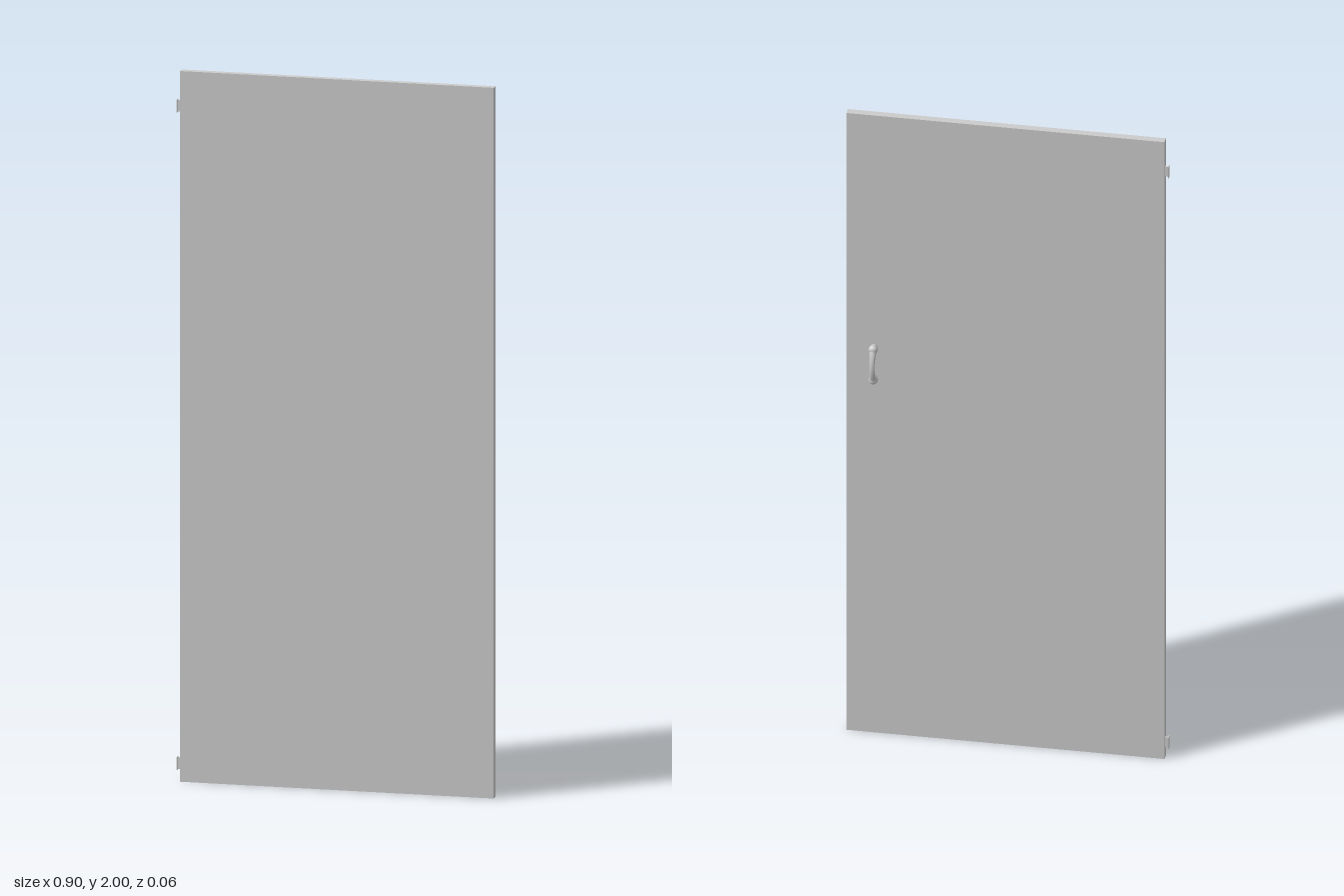
import * as THREE from 'three';

const material = new THREE.MeshStandardMaterial({ color: 0xcccccc });

function add(parent, name, geometry, x, y, z) {
  const mesh = new THREE.Mesh(geometry, material);
  mesh.name = name;
  mesh.position.set(x, y, z);
  parent.add(mesh);
  return mesh;
}

// Bowed grip: oval rings around an arc, thinnest in the middle
function gripGeometry(halfLength, zEnd, zMid, rings = 16, sides = 12) {
  const positions = [], index = [];
  for (let i = 0; i <= rings; i++) {
    const t = (i / rings) * 2 - 1, t2 = t * t;
    const y = t * halfLength, z = zMid + (zEnd - zMid) * t2;
    const slope = (2 * (zEnd - zMid) * t) / halfLength;
    const n = Math.hypot(1, slope);
    const rx = 0.007 + 0.004 * t2, rn = 0.0045 + 0.004 * t2;
    for (let j = 0; j < sides; j++) {
      const a = (j / sides) * Math.PI * 2;
      const d = rn * Math.sin(a);
      positions.push(rx * Math.cos(a), y - (slope / n) * d, z + d / n);
      if (i < rings) {
        const p = i * sides + j, q = i * sides + ((j + 1) % sides);
        index.push(p, p + sides, q, q, p + sides, q + sides);
      }
    }
  }
  const geometry = new THREE.BufferGeometry();
  geometry.setAttribute('position', new THREE.Float32BufferAttribute(positions, 3));
  geometry.setIndex(index);
  geometry.computeVertexNormals();
  return geometry;
}

export function createModel() {
  const model = new THREE.Group();
  model.name = 'door';

  // Door leaf
  add(model, 'panel', new THREE.BoxGeometry(0.887, 2, 0.021), 0.0055, 1, 0.0175);

  // Hinges: thin outer plate on a narrow web
  for (const y of [0.05, 1.9]) {
    const hinge = new THREE.Group();
    hinge.name = y < 1 ? 'lowerHinge' : 'upperHinge';
    hinge.position.set(0, y, 0.0175);
    add(hinge, 'hingePlate', new THREE.BoxGeometry(0.002, 0.036, 0.015), -0.448, 0, 0);
    add(hinge, 'hingeWeb', new THREE.BoxGeometry(0.012, 0.032, 0.005), -0.442, 0, 0);
    model.add(hinge);
  }

  // Pull handle on the back: two rounded feet joined by the grip
  const handle = new THREE.Group();
  handle.name = 'handle';
  handle.position.set(0.372, 1.2, 0);
  const footProfile = [[0.010, 0], [0.0105, 0.005], [0.0128, 0.011], [0.0128, 0.016],
    [0.0105, 0.0215], [0.006, 0.0245], [0, 0.0255]].map(([r, h]) => new THREE.Vector2(r, h));
  for (const side of [-1, 1]) {
    const foot = add(handle, 'handleFoot', new THREE.LatheGeometry(footProfile, 14), 0, side * 0.049, 0.008);
    foot.rotation.x = -Math.PI / 2;
  }
  add(handle, 'handleGrip', gripGeometry(0.048, -0.008, -0.0235), 0, 0, 0);
  model.add(handle);

  return model;
}
